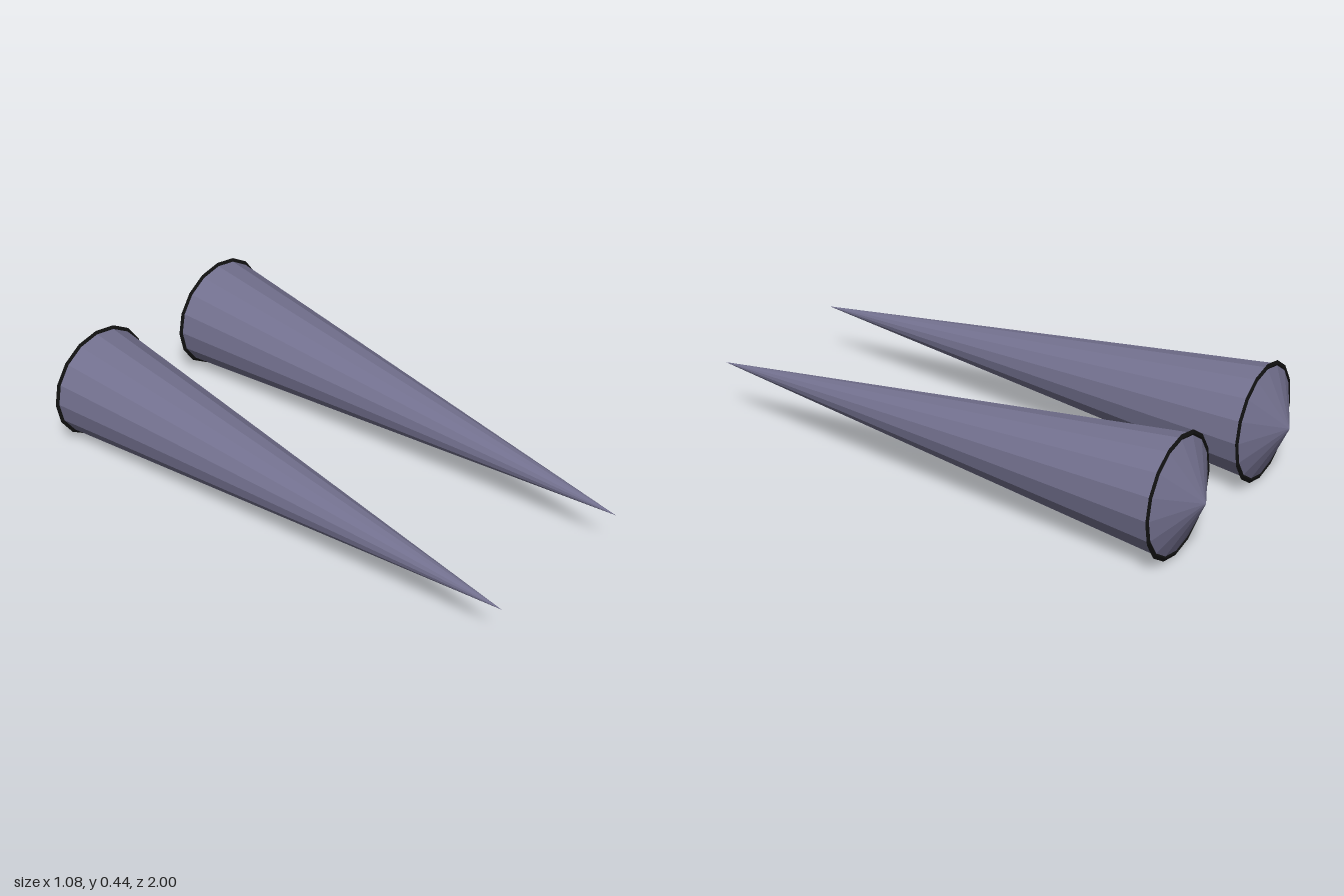
import * as THREE from 'three';

const SIDES = 16;
const RADIUS = 0.209;
const BASE_Z = -0.9;

const bodyMaterial = new THREE.MeshStandardMaterial({ color: 0x73718f, flatShading: true });
const rimMaterial = new THREE.MeshStandardMaterial({ color: 0x111111, flatShading: true });

// Open cone along z, from its base at BASE_Z to its tip
function makeCone(name, tipZ) {
  const height = Math.abs(tipZ - BASE_Z);
  const geometry = new THREE.ConeGeometry(RADIUS, height, SIDES, 1, true);
  geometry.rotateX(Math.sign(tipZ - BASE_Z) * Math.PI / 2);
  geometry.translate(0, 0, (tipZ + BASE_Z) / 2);
  const mesh = new THREE.Mesh(geometry, bodyMaterial);
  mesh.name = name;
  return mesh;
}

function makeSpike(name, x) {
  const spike = new THREE.Group();
  spike.name = name;

  // Long front point and shallow rear cap
  spike.add(makeCone('spikePoint', 1), makeCone('rearCap', -1));

  // Thin dark rim around the joint
  const rimGeometry = new THREE.TorusGeometry(RADIUS, 0.012, 4, SIDES);
  rimGeometry.scale(1, 1, 0.5);
  const rim = new THREE.Mesh(rimGeometry, rimMaterial);
  rim.name = 'rim';
  rim.position.z = BASE_Z;
  spike.add(rim);

  spike.position.set(x, 0.222, 0);
  return spike;
}

export function createModel() {
  const model = new THREE.Group();
  model.name = 'spikePair';
  model.add(makeSpike('leftSpike', 0.317), makeSpike('rightSpike', -0.317));
  return model;
}
